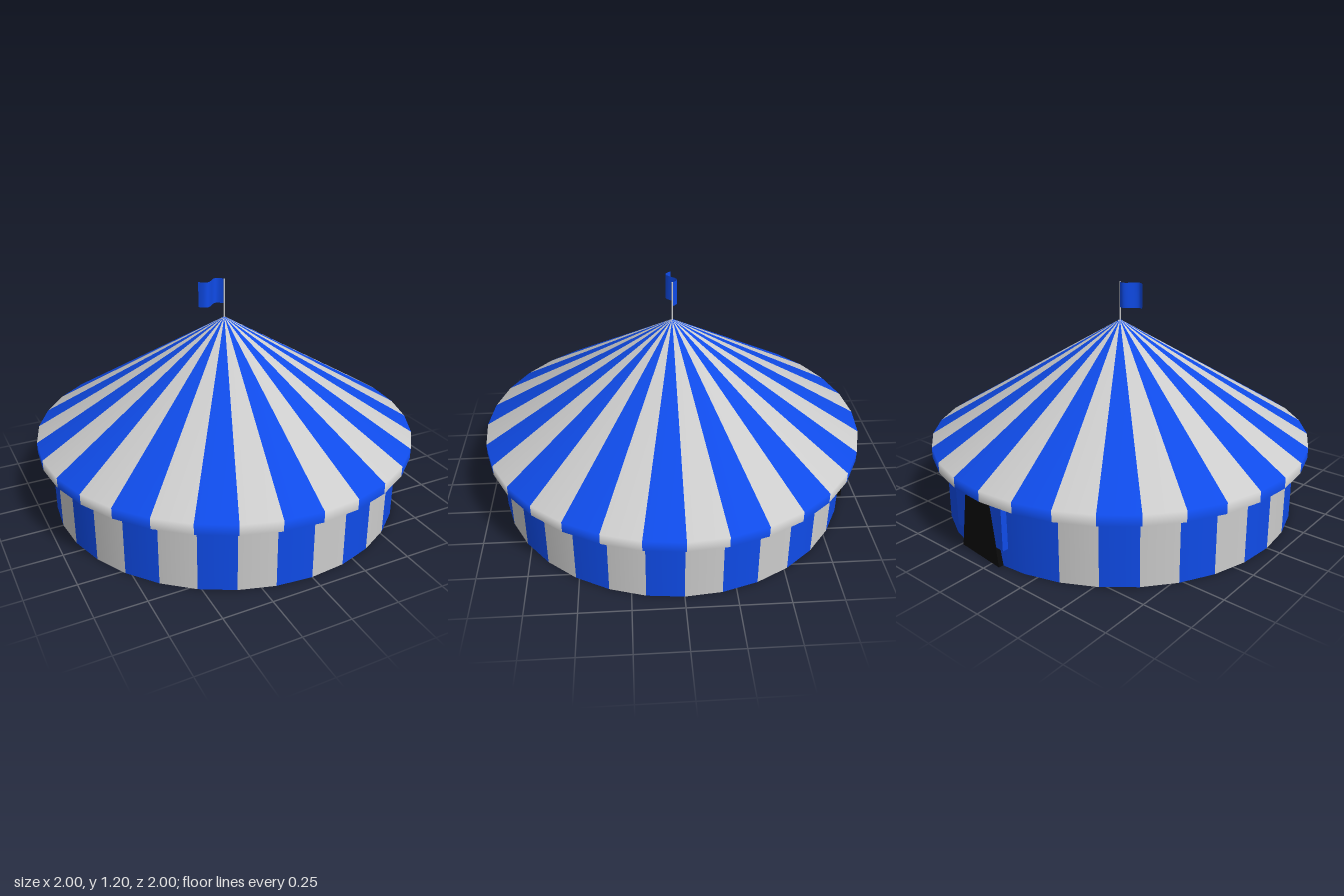
import * as THREE from 'three';
import { mergeGeometries } from 'three/addons/utils/BufferGeometryUtils.js';

const SIDES = 32;
const STEP = (Math.PI * 2) / SIDES;
const EAVE = 0.345;

export function createModel() {
  const group = new THREE.Group();
  const grey = new THREE.MeshStandardMaterial({ color: 0xcccccc, side: THREE.DoubleSide });
  const blue = new THREE.MeshStandardMaterial({ color: 0x0f4be8, side: THREE.DoubleSide });
  const black = new THREE.MeshStandardMaterial({ color: 0x0a0a0a });

  const add = (name, geometry, material, parent = group) => {
    const mesh = new THREE.Mesh(geometry, material);
    mesh.name = name;
    parent.add(mesh);
    return mesh;
  };

  // Revolve a profile as alternating panels, one mesh per colour
  const stripes = (name, profile, isBlue) => {
    const points = profile.map(([r, y]) => new THREE.Vector2(r, y));
    const sets = { Grey: [], Blue: [] };
    for (let i = 0; i < SIDES; i++) {
      sets[isBlue(i) ? 'Blue' : 'Grey'].push(new THREE.LatheGeometry(points, 1, i * STEP, STEP));
    }
    add(name + 'Grey', mergeGeometries(sets.Grey), grey);
    add(name + 'Blue', mergeGeometries(sets.Blue), blue);
  };

  // Canvas roof with a short valance
  stripes('roof', [[1, EAVE], [1, 0.4], [0.001, 1]], i => i % 2 === 1);

  // Round wall, plain blue around the entrance
  stripes('wall', [[0.93, 0], [0.93, EAVE]], i => i % 2 === 1 || (i >= 14 && i <= 16));

  // Floor and underside of the eave
  add('floor', new THREE.CircleGeometry(0.93, SIDES).rotateX(Math.PI / 2), blue);
  add('eaveUnderside', new THREE.RingGeometry(0.92, 1, SIDES).rotateX(Math.PI / 2), blue).position.y = EAVE;

  // Entrance centred on one back panel, built facing local +z
  const entrance = new THREE.Group();
  entrance.name = 'entrance';
  entrance.rotation.y = 15.5 * STEP;
  group.add(entrance);
  const surround = new THREE.BoxGeometry(0.36, EAVE - 0.1, 0.06);
  add('entranceSurround', surround, blue, entrance).position.set(0, (EAVE + 0.1) / 2, 0.908);
  const opening = new THREE.Shape([
    new THREE.Vector2(-0.146, 0.001), new THREE.Vector2(0.146, 0.001),
    new THREE.Vector2(0.088, EAVE - 0.002), new THREE.Vector2(-0.088, EAVE - 0.002),
  ]);
  const doorway = new THREE.ExtrudeGeometry(opening, { depth: 0.05, bevelEnabled: false });
  add('doorway', doorway, black, entrance).position.z = 0.891;

  // Flagpole and waving flag
  add('flagpole', new THREE.CylinderGeometry(0.004, 0.004, 0.22, 8), grey).position.y = 1.09;
  const flag = new THREE.PlaneGeometry(0.145, 0.13, 16, 1).translate(-0.0725, 1.135, 0);
  const p = flag.attributes.position;
  for (let i = 0; i < p.count; i++) {
    p.setZ(i, 0.027 * Math.sin((p.getX(i) / 0.145) * Math.PI * 2));
  }
  flag.computeVertexNormals();
  add('flag', flag, blue);

  return group;
}
